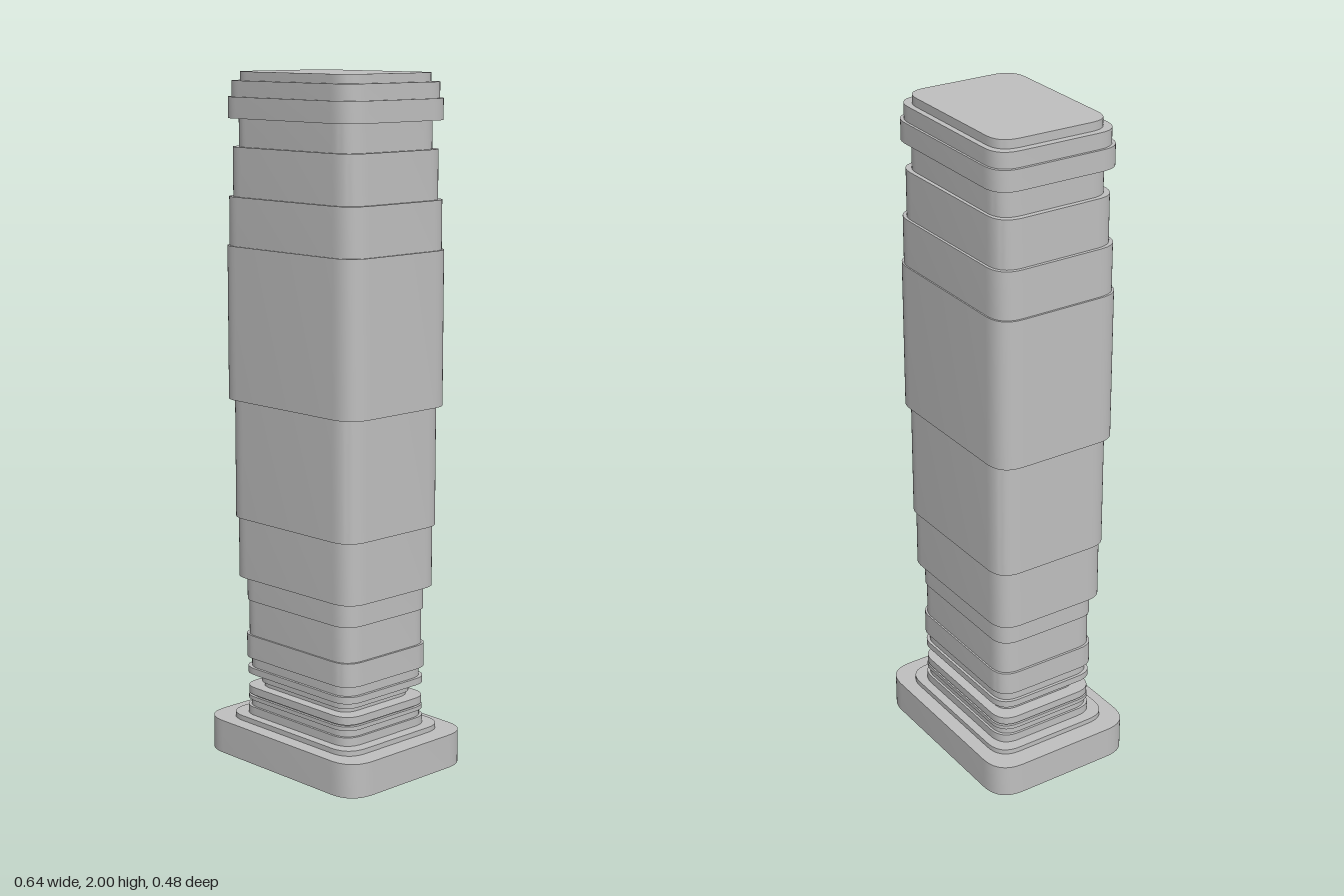
import * as THREE from 'three';
import { toCreasedNormals } from 'three/addons/utils/BufferGeometryUtils.js';

// Rounded rectangle with soft corners, w and d are half sizes
function outline(w, d, r) {
  const s = new THREE.Shape();
  s.moveTo(w - r, -d);
  s.quadraticCurveTo(w, -d, w, -d + r);
  s.lineTo(w, d - r);
  s.quadraticCurveTo(w, d, w - r, d);
  s.lineTo(-w + r, d);
  s.quadraticCurveTo(-w, d, -w, d - r);
  s.lineTo(-w, -d + r);
  s.quadraticCurveTo(-w, -d, -w + r, -d);
  return s;
}

// Tiers from bottom to top: name, bottom, top, half width, half depth, twist
const tiers = [
  ['base', 0, 0.1, 0.318, 0.238, 0],
  ['plinth', 0.1, 0.115, 0.26, 0.195, 0],
  ['lowerBand', 0.115, 0.14, 0.227, 0.168, 0],
  ['lowerGroove', 0.14, 0.16, 0.22, 0.161, 0],
  ['lowerBand', 0.16, 0.172, 0.226, 0.167, 0],
  ['lowerGroove', 0.172, 0.177, 0.217, 0.159, 0],
  ['lowerBand', 0.177, 0.2, 0.225, 0.166, 0],
  ['neck', 0.2, 0.212, 0.185, 0.135, 0],
  ['neckRing', 0.212, 0.232, 0.193, 0.14, 0],
  ['neck', 0.232, 0.24, 0.185, 0.135, 0],
  ['shaftRing', 0.24, 0.26, 0.227, 0.168, 0],
  ['shaftGroove', 0.26, 0.29, 0.218, 0.16, 0],
  ['lowerShaft', 0.29, 0.36, 0.23, 0.17, 0],
  ['lowerShaft', 0.36, 0.465, 0.223, 0.165, 0],
  ['lowerShaft', 0.465, 0.535, 0.228, 0.168, 0],
  ['middleShaft', 0.535, 0.715, 0.25, 0.183, 0],
  ['middleShaft', 0.715, 1.065, 0.255, 0.19, 0],
  ['wideShaft', 1.065, 1.51, 0.273, 0.2, 0],
  ['upperShaft', 1.51, 1.65, 0.267, 0.196, 0],
  ['upperShaft', 1.65, 1.79, 0.257, 0.188, 0],
  ['upperNeck', 1.79, 1.87, 0.242, 0.177, -0.01],
  ['collar', 1.87, 1.93, 0.268, 0.198, -0.015],
  ['crown', 1.93, 1.975, 0.26, 0.191, -0.02],
  ['cap', 1.975, 2, 0.239, 0.174, -0.022],
];

export function createModel() {
  const group = new THREE.Group();
  const stone = new THREE.MeshStandardMaterial({ color: 0xbfbfbf });
  stone.name = 'grey stone';
  for (const [name, y0, y1, w, d, twist] of tiers) {
    const geo = new THREE.ExtrudeGeometry(outline(w, d, w * 0.27), {
      depth: y1 - y0, bevelEnabled: false, curveSegments: 10,
    });
    geo.rotateX(-Math.PI / 2);
    const mesh = new THREE.Mesh(toCreasedNormals(geo, 0.6), stone);
    mesh.name = name;
    mesh.position.y = y0;
    mesh.rotation.y = twist;
    group.add(mesh);
  }
  return group;
}
